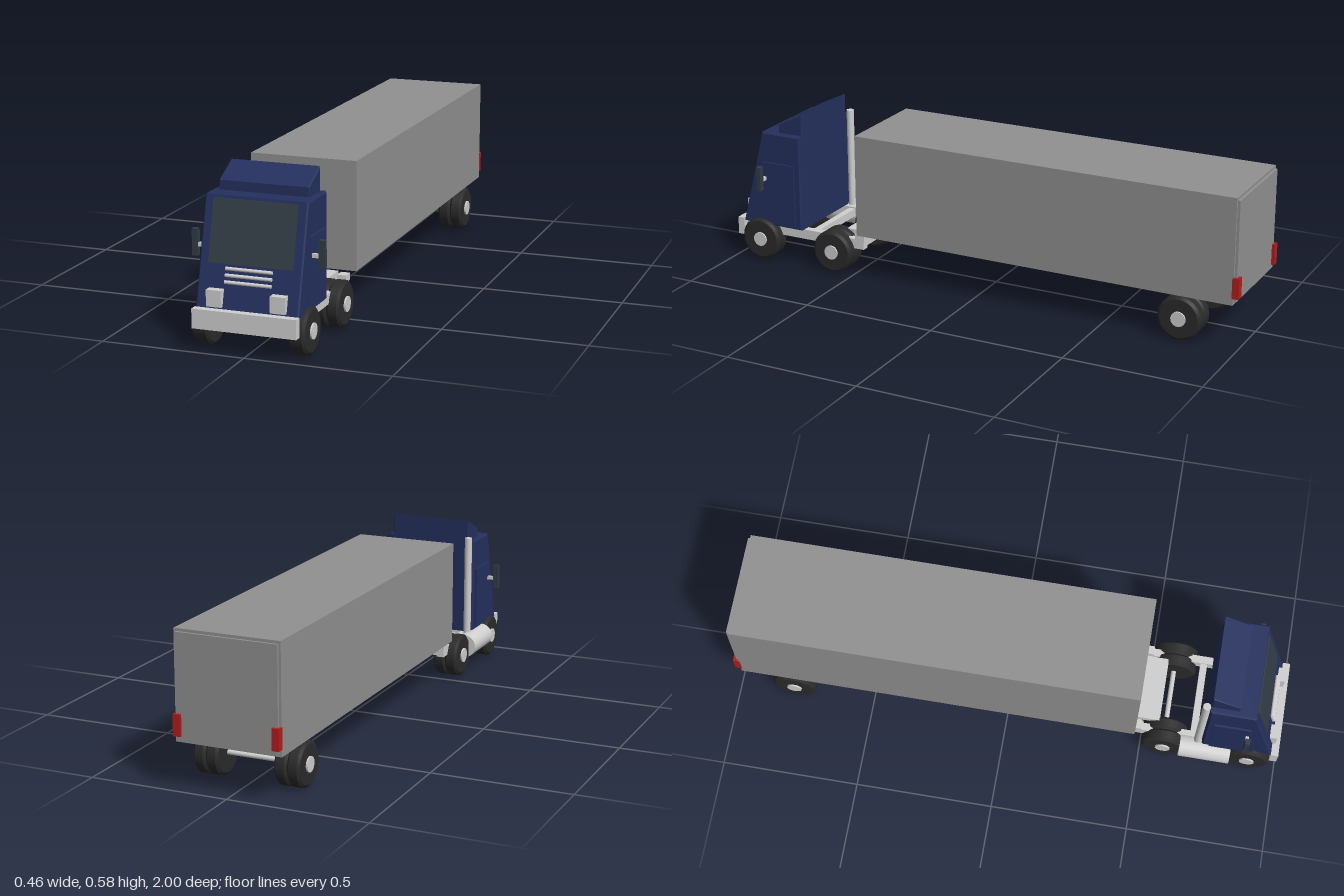
import * as THREE from 'three';

export function createModel() {
  const truck = new THREE.Group();
  truck.name = 'semiTruck';

  const paint = (name, color) => {
    const m = new THREE.MeshStandardMaterial({ color });
    m.name = name;
    return m;
  };
  const navy = paint('navy paint', 0x24305e);
  const chrome = paint('light metal', 0xd0d0d0);
  const grey = paint('trailer grey', 0x919191);
  const glass = paint('dark glass', 0x323c46);
  const rubber = paint('rubber', 0x2b2b2b);
  const red = paint('tail light red', 0xb51c1c);

  const add = (name, geo, mat, parent = truck) => {
    const mesh = new THREE.Mesh(geo, mat);
    mesh.name = name;
    parent.add(mesh);
    return mesh;
  };
  // Box given by its extents on each axis
  const box = (name, mat, [x0, x1], [y0, y1], [z0, z1]) => {
    const mesh = add(name, new THREE.BoxGeometry(x1 - x0, y1 - y0, z1 - z0), mat);
    mesh.position.set((x0 + x1) / 2, (y0 + y1) / 2, (z0 + z1) / 2);
    return mesh;
  };
  // Cylinder lying along x
  const rod = (name, mat, r, length, x, y, z, parent = truck) => {
    const mesh = add(name, new THREE.CylinderGeometry(r, r, length, 20).rotateZ(Math.PI / 2), mat, parent);
    mesh.position.set(x, y, z);
    return mesh;
  };
  // Side profile of [z, y] points swept across x and centred on x = 0
  const sweep = (name, mat, points, width, bevel = 0) => {
    const shape = new THREE.Shape(points.map(([z, y]) => new THREE.Vector2(z, y)));
    const geo = new THREE.ExtrudeGeometry(shape, {
      depth: width - 2 * bevel, bevelEnabled: bevel > 0, bevelSize: bevel,
      bevelThickness: bevel, bevelOffset: -bevel, bevelSegments: 1,
    });
    geo.translate(0, 0, bevel - width / 2).rotateY(-Math.PI / 2);
    return add(name, geo, mat);
  };
  // Sloping front face of the cab
  const faceZ = (y) => 0.975 - 0.26 * (y - 0.135);

  // Cab shell and roof deflector
  sweep('cab', navy, [[0.975, 0.135], [faceZ(0.498), 0.498], [0.72, 0.498], [0.72, 0.135]], 0.355, 0.005);
  sweep('roofDeflector', navy, [[0.82, 0.49], [0.82, 0.53], [0.72, 0.578], [0.72, 0.49]], 0.312, 0.003);

  // Windscreen
  const w0 = 0.287, w1 = 0.488;
  sweep('windscreen', glass, [
    [faceZ(w0) - 0.003, w0], [faceZ(w0) + 0.004, w0], [faceZ(w1) + 0.004, w1], [faceZ(w1) - 0.003, w1],
  ], 0.292);

  // Grille bars
  for (const y of [0.233, 0.254, 0.275]) rod('grilleBar', chrome, 0.006, 0.16, 0, y, faceZ(y) + 0.01);

  // Bumper and chassis
  box('bumper', chrome, [-0.18, 0.18], [0.08, 0.146], [0.973, 1]);
  box('frontAxle', chrome, [-0.137, 0.137], [0.068, 0.094], [0.88, 0.906]);
  box('crossMember', chrome, [-0.14, 0.14], [0.1, 0.13], [0.675, 0.7]);
  box('rearCrossMember', chrome, [-0.14, 0.14], [0.1, 0.13], [0.475, 0.495]);
  box('couplingPlate', chrome, [-0.12, 0.12], [0.132, 0.155], [0.462, 0.558]);

  for (const s of [-1, 1]) {
    const span = (a, b) => (s > 0 ? [a, b] : [-b, -a]);
    box('chassisRail', chrome, span(0.132, 0.16), [0.098, 0.135], [0.465, 0.975]);
    box('railEnd', chrome, span(0.13, 0.162), [0.128, 0.152], [0.462, 0.5]);
    box('headlight', chrome, span(0.084, 0.136), [0.153, 0.209], [0.95, 0.983]);
    // Door panel with a sloping front edge
    sweep('door', navy, [
      [0.905, 0.15], [faceZ(0.384) - 0.035, 0.384], [0.745, 0.384], [0.745, 0.15],
    ], 0.009).position.x = s * 0.18;
    // Wing mirror and its arm
    box('mirror', glass, span(0.209, 0.23), [0.285, 0.376], [0.86, 0.877]);
    box('mirrorArm', chrome, span(0.17, 0.211), [0.316, 0.329], [0.862, 0.874]);
    box('tailLight', red, span(0.164, 0.19), [0.187, 0.262], [-1, -0.975]);
  }

  // Fuel tank and exhaust stack on the right side
  const tank = add('fuelTank', new THREE.CylinderGeometry(0.044, 0.044, 0.185, 24).rotateX(Math.PI / 2), chrome);
  tank.position.set(-0.177, 0.098, 0.735);
  const stack = add('exhaustStack', new THREE.CylinderGeometry(0.014, 0.014, 0.385, 16), chrome);
  stack.position.set(-0.163, 0.322, 0.704);

  // Trailer body and rear door
  box('trailerBody', grey, [-0.19, 0.19], [0.163, 0.544], [-0.98, 0.475]);
  box('trailerDoor', grey, [-0.182, 0.182], [0.173, 0.534], [-0.989, -0.979]);

  // Tyre with bevelled shoulders, lying along x
  const tyre = (w) => {
    const h = w / 2, profile = [[0, -h], [0.07, -h], [0.08, -h + 0.008], [0.08, h - 0.008], [0.07, h], [0, h]];
    const flat = [];
    // Doubled points keep the shoulders crisp
    for (const p of profile) flat.push(new THREE.Vector2(...p), new THREE.Vector2(...p));
    return new THREE.LatheGeometry(flat.slice(1, -1), 28).rotateZ(Math.PI / 2);
  };

  // Wheels: single at the front, twin on the other axles
  for (const [z, twin] of [[0.893, false], [0.583, true], [-0.79, true]]) {
    if (twin) rod('axle', chrome, 0.009, 0.25, 0, 0.08, z);
    for (const s of [-1, 1]) {
      const wheel = new THREE.Group();
      wheel.name = twin ? 'twinWheel' : 'frontWheel';
      wheel.position.set(0, 0.08, z);
      truck.add(wheel);
      const tyres = twin ? [[0.125, 0.046], [0.171, 0.046]] : [[0.166, 0.057]];
      for (const [x, w] of tyres) add('tyre', tyre(w), rubber, wheel).position.x = s * x;
      rod('hub', chrome, 0.027, 0.03, s * 0.185, 0, 0, wheel);
    }
  }
  return truck;
}
